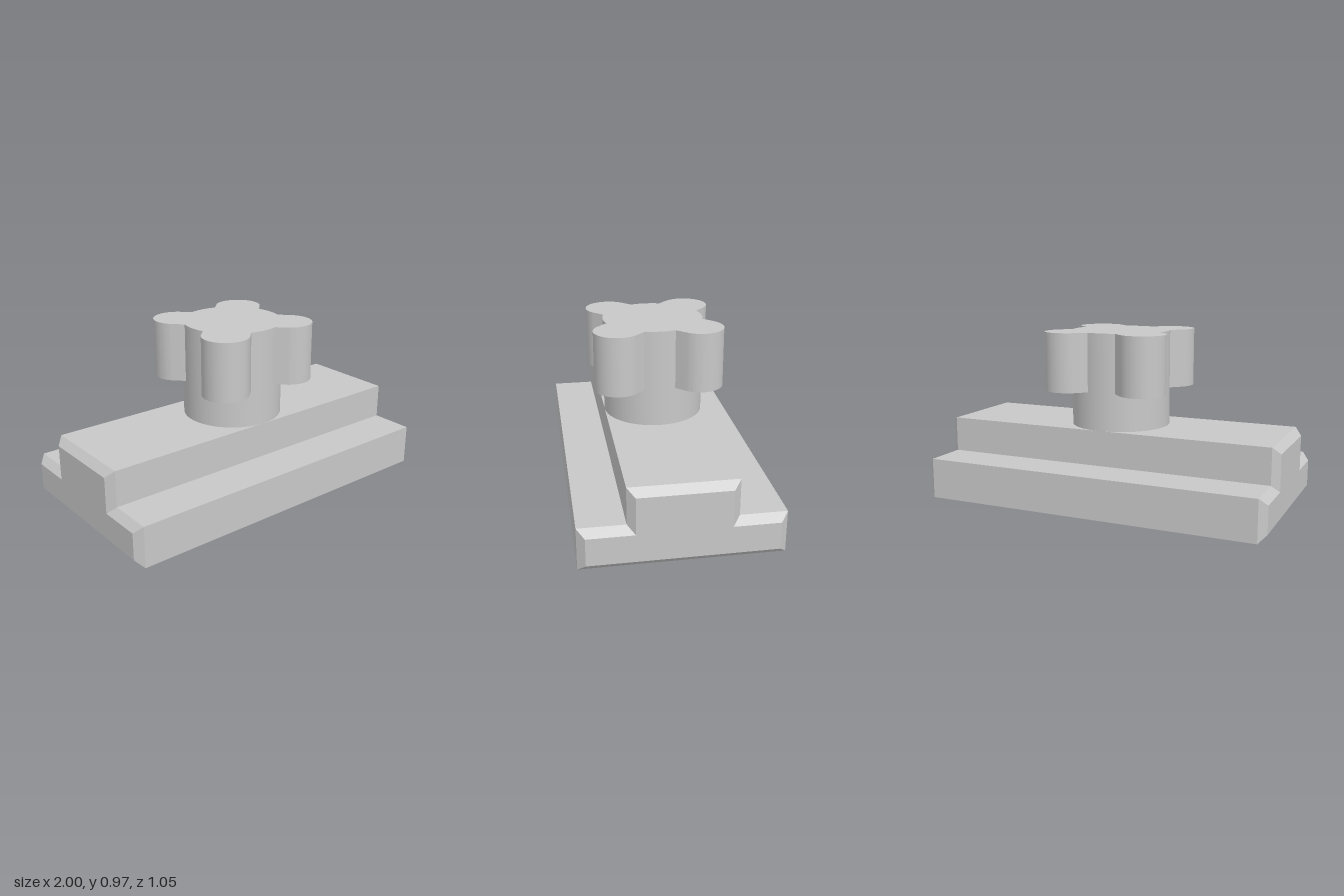
import * as THREE from 'three';
import { toCreasedNormals } from 'three/addons/utils/BufferGeometryUtils.js';

// Stepped cross-section at one x, shrunk by inset; counter-clockwise seen from +x
function section(x, inset) {
  const w = 0.525 - inset, s = 0.28 - inset;
  const low = inset, mid = 0.23 - inset, top = 0.43 - inset;
  return [[w, low], [-w, low], [-w, mid], [-s, mid], [-s, top], [s, top], [s, mid], [w, mid]]
    .map(([z, y]) => [x, y, z]);
}

// T-shaped bar with chamfered ends, skinned through its cross-sections
function slideGeometry() {
  const c = 0.04;
  const loops = [section(-1, c), section(-1 + c, 0), section(1 - c, 0), section(1, c)];
  const pos = [];
  const quad = (p, q, r, s) => [p, q, r, p, r, s].forEach((v) => pos.push(...v));
  for (let k = 0; k < 3; k++) {
    const a = loops[k], b = loops[k + 1];
    for (let i = 0; i < 8; i++) {
      const j = (i + 1) % 8;
      quad(a[i], a[j], b[j], b[i]);
    }
  }
  const L = loops[0], R = loops[3];
  for (const [p, q, r, s] of [[0, 1, 2, 7], [3, 4, 5, 6]]) {
    quad(R[p], R[q], R[r], R[s]);
    quad(L[s], L[r], L[q], L[p]);
  }
  const g = new THREE.BufferGeometry();
  g.setAttribute('position', new THREE.Float32BufferAttribute(pos, 3));
  g.computeVertexNormals();
  return g;
}

// Four rounded lobes joined by arcs of the central hub
function knobGeometry() {
  const hub = 0.28, lobe = 0.13, reach = 0.225 * Math.SQRT2;
  const join = Math.asin(lobe / hub), q = Math.PI / 2;
  const shape = new THREE.Shape();
  for (let i = 0; i < 4; i++) {
    const a = q / 2 + i * q;
    shape.absarc(reach * Math.cos(a), reach * Math.sin(a), lobe, a - q, a + q, false);
    shape.absarc(0, 0, hub, a + join, a + q - join, false);
  }
  const g = new THREE.ExtrudeGeometry(shape, { depth: 0.33, bevelEnabled: false, curveSegments: 24 });
  g.rotateX(-Math.PI / 2);
  return toCreasedNormals(g, 0.5);
}

export function createModel() {
  const grey = new THREE.MeshStandardMaterial({ color: 0xc8c8c8 });
  grey.name = 'light grey';
  const model = new THREE.Group();
  model.name = 'clampKnobAndSlide';
  const add = (name, geometry, y) => {
    const mesh = new THREE.Mesh(geometry, grey);
    mesh.name = name;
    mesh.position.y = y;
    model.add(mesh);
  };

  add('slideBar', slideGeometry(), 0);
  // Neck between the bar and the knob
  add('neck', new THREE.CylinderGeometry(0.28, 0.28, 0.21, 64, 1, true), 0.535);
  add('lobedKnob', knobGeometry(), 0.64);
  return model;
}
